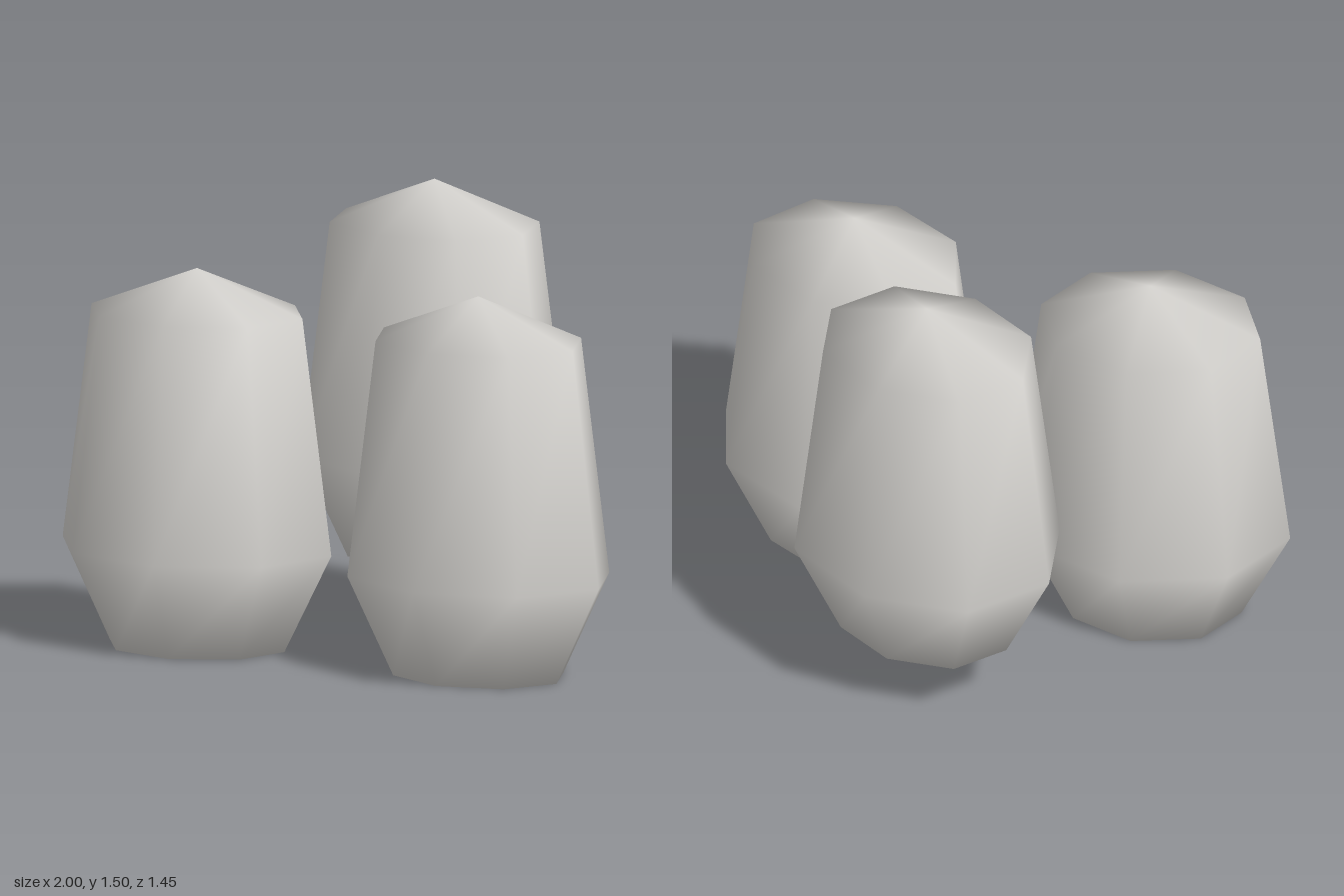
import * as THREE from 'three';

const paleGrey = new THREE.MeshStandardMaterial({ color: 0xd8d6d2 });
paleGrey.name = 'paleGrey';

// Height and scale of each ring, from the base to the shoulder
const RINGS = [[0, 0.65], [0.335, 1], [1.125, 0.785]];
const APEX = 1.27;

// Eight-sided boulder; the outline is half of a centrally symmetric octagon
function stone(name, half, x, y, z) {
  const outline = [...half, ...half.map(([px, pz]) => [-px, -pz])];
  const n = outline.length;
  const positions = [];
  const index = [];
  for (const [h, s] of RINGS) {
    for (const [px, pz] of outline) positions.push(px * s, h, pz * s);
  }
  const base = positions.length / 3;
  const apex = base + 1;
  positions.push(0, 0, 0, 0, APEX, 0);
  const top = (RINGS.length - 1) * n;

  for (let i = 0; i < n; i++) {
    const j = (i + 1) % n;
    // sides
    for (let r = 0; r < top; r += n) {
      index.push(r + i, r + n + i, r + j, r + j, r + n + i, r + n + j);
    }
    // pointed cap and flat base
    index.push(top + i, apex, top + j, base, i, j);
  }

  const geometry = new THREE.BufferGeometry();
  geometry.setAttribute('position', new THREE.Float32BufferAttribute(positions, 3));
  geometry.setIndex(index);
  geometry.computeVertexNormals();
  const mesh = new THREE.Mesh(geometry, paleGrey);
  mesh.name = name;
  mesh.position.set(x, y, z);
  return mesh;
}

export function createModel() {
  const group = new THREE.Group();
  group.name = 'stoneCluster';
  const side = [[0.475, 0.05], [0.305, 0.305], [-0.04, 0.385], [-0.365, 0.235]];
  // mirrored outline, reversed to keep the same turning direction
  const mirrored = [[0.475, -0.05], ...side.slice(1).reverse().map(([x, z]) => [-x, z])];
  const back = [[0.468, 0.09], [0.28, 0.34], [-0.07, 0.38], [-0.388, 0.21]];

  group.add(
    stone('leftStone', side, 0.525, 0, 0.338),
    stone('rightStone', mirrored, -0.525, 0, 0.338),
    stone('backStone', back, 0, 0.23, -0.348)
  );
  return group;
}
